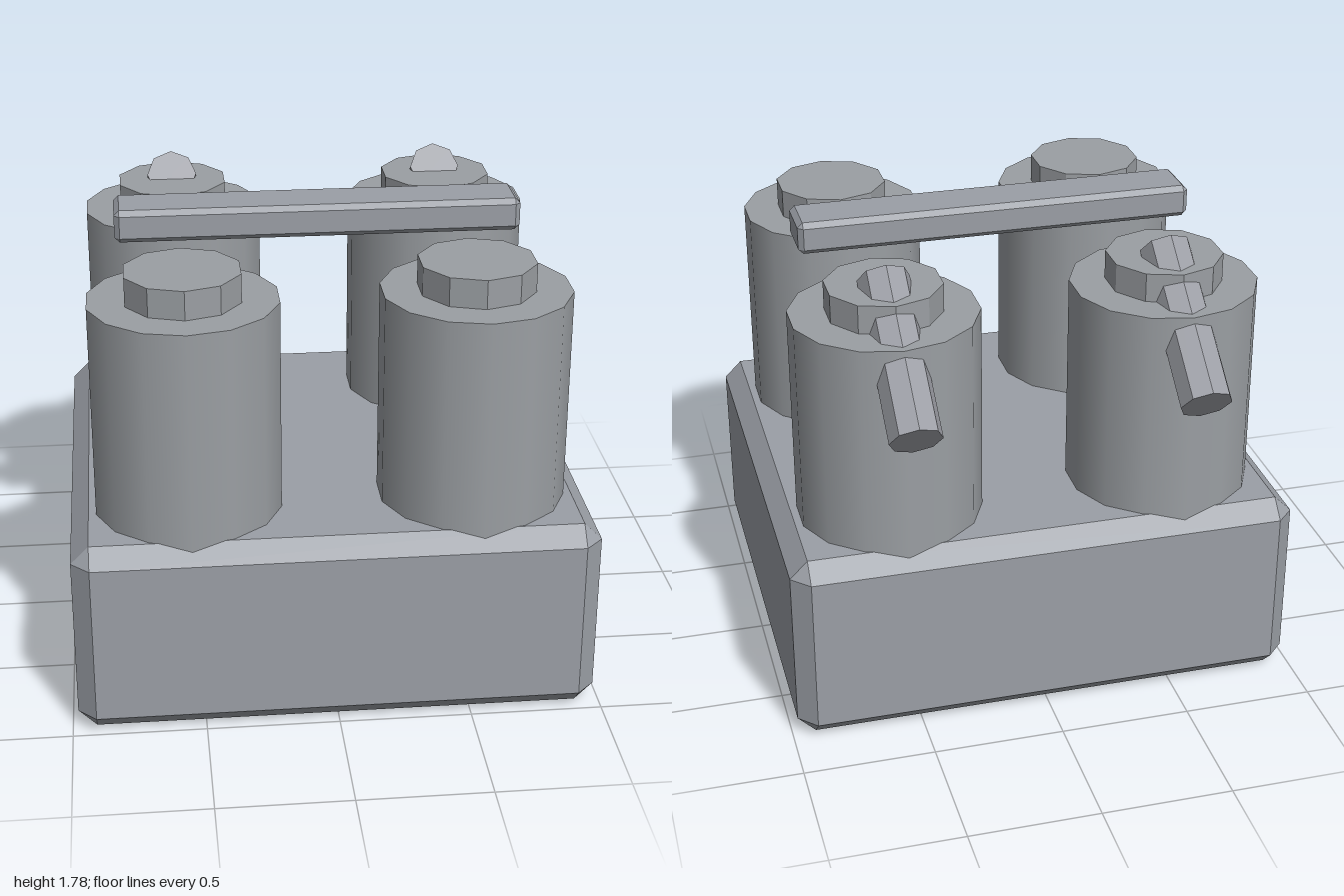
import * as THREE from 'three';
import { ConvexGeometry } from 'three/addons/geometries/ConvexGeometry.js';

const paint = (color, flatShading) => new THREE.MeshStandardMaterial({ color, flatShading });
const blockPaint = paint(0x9b9fa6, true);
const canisterPaint = paint(0x9b9fa3, false);
const capPaint = paint(0x9b9fa3, true);
const pipePaint = paint(0x9c9ea5, true);

// Box with every edge cut by a single flat bevel
function bevelBox(w, h, d, b) {
  const points = [];
  for (const sx of [-1, 1]) for (const sy of [-1, 1]) for (const sz of [-1, 1]) {
    const x = w / 2, y = h / 2, z = d / 2;
    points.push(
      new THREE.Vector3(sx * x, sy * (y - b), sz * (z - b)),
      new THREE.Vector3(sx * (x - b), sy * y, sz * (z - b)),
      new THREE.Vector3(sx * (x - b), sy * (y - b), sz * z));
  }
  return new ConvexGeometry(points);
}

function add(parent, name, geometry, material, x, y, z) {
  const mesh = new THREE.Mesh(geometry, material);
  mesh.name = name;
  mesh.position.set(x, y, z);
  parent.add(mesh);
  return mesh;
}

export function createModel() {
  const model = new THREE.Group();
  model.name = 'fourCylinderBlock';

  // Bevelled base block and the floating cross bar
  add(model, 'base', bevelBox(1.956, 0.76, 1.82, 0.068), blockPaint, 0, 0.38, 0.09);
  add(model, 'crossBar', bevelBox(1.545, 0.126, 0.22, 0.02), blockPaint, 0, 1.707, 0.09);

  const bodyGeo = new THREE.CylinderGeometry(0.355, 0.355, 0.88, 14);
  const capGeo = new THREE.CylinderGeometry(0.22, 0.22, 0.15, 10);
  const pipeGeo = new THREE.CylinderGeometry(0.098, 0.098, 0.648, 8);

  for (const [side, x] of [['left', 0.535], ['right', -0.535]]) {
    // Canisters with raised caps, sunk slightly into the base
    for (const [end, z] of [['Front', 0.605], ['Rear', -0.426]]) {
      add(model, `${side}${end}Canister`, bodyGeo, canisterPaint, x, 1.14, z);
      add(model, `${side}${end}Cap`, capGeo, capPaint, x, 1.615, z);
    }
    // Slanted pipe leaving each rear canister
    const pipe = add(model, `${side}Pipe`, pipeGeo, pipePaint, x, 1.507, -0.685);
    pipe.rotation.x = Math.atan2(0.51, 0.4);
  }
  return model;
}
